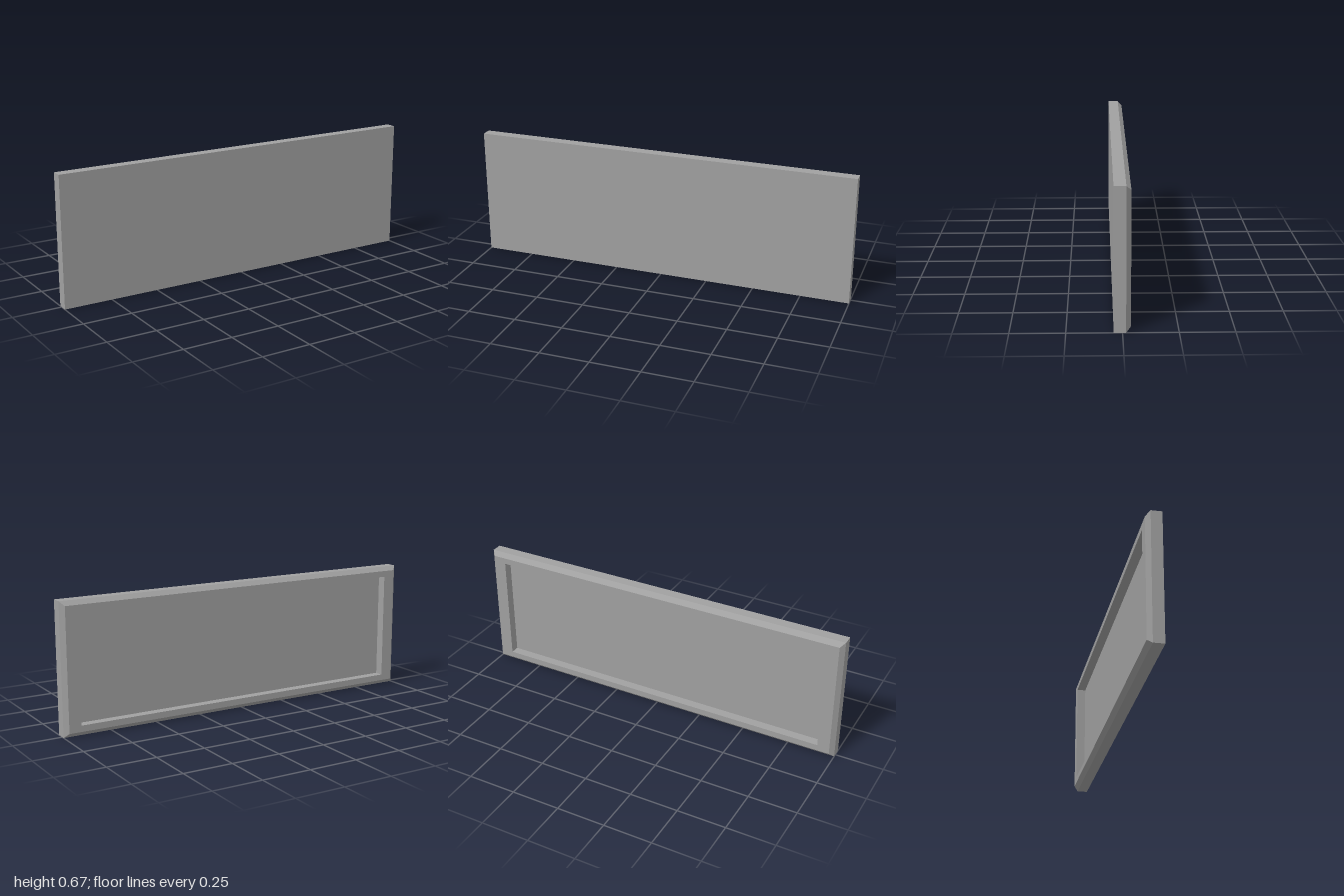
import * as THREE from 'three';

const HEIGHT = 0.667;

// Corners of a rectangle inset from the panel outline, counter-clockwise seen from +z
function ring(insetX, insetY, z) {
  const x = 1 - insetX, lo = insetY, hi = HEIGHT - insetY;
  return [[-x, lo, z], [x, lo, z], [x, hi, z], [-x, hi, z]];
}

// Flat-sided geometry from quads given as four counter-clockwise corners
function quads(list) {
  const pos = list.flatMap(([a, b, c, d]) => [a, b, c, a, c, d]).flat();
  const geometry = new THREE.BufferGeometry();
  geometry.setAttribute('position', new THREE.Float32BufferAttribute(pos, 3));
  geometry.computeVertexNormals();
  return geometry;
}

// Four side walls joining one ring to the next
function band(r, s) {
  return r.map((p, i) => {
    const j = (i + 1) % 4;
    return [p, s[i], s[j], r[j]];
  });
}

export function createModel() {
  const grey = new THREE.MeshStandardMaterial({ color: 0xa0a0a0 });
  grey.name = 'grey';
  const group = new THREE.Group();
  group.name = 'panel';
  const add = (name, list) => {
    const mesh = new THREE.Mesh(quads(list), grey);
    mesh.name = name;
    group.add(mesh);
  };

  const front = ring(0, 0, 0.039);
  const shoulder = ring(0, 0, -0.016);
  const back = ring(0.022, 0.022, -0.038);
  const opening = ring(0.085, 0.054, -0.038);
  const floor = ring(0.085, 0.054, 0.009);

  add('frontFace', [front]);
  add('outerEdge', band(front, shoulder));
  add('backBevel', band(shoulder, back));
  add('backRim', band(back, opening));
  add('recessWalls', band(opening, floor));
  add('recessFloor', [[...floor].reverse()]);
  return group;
}
